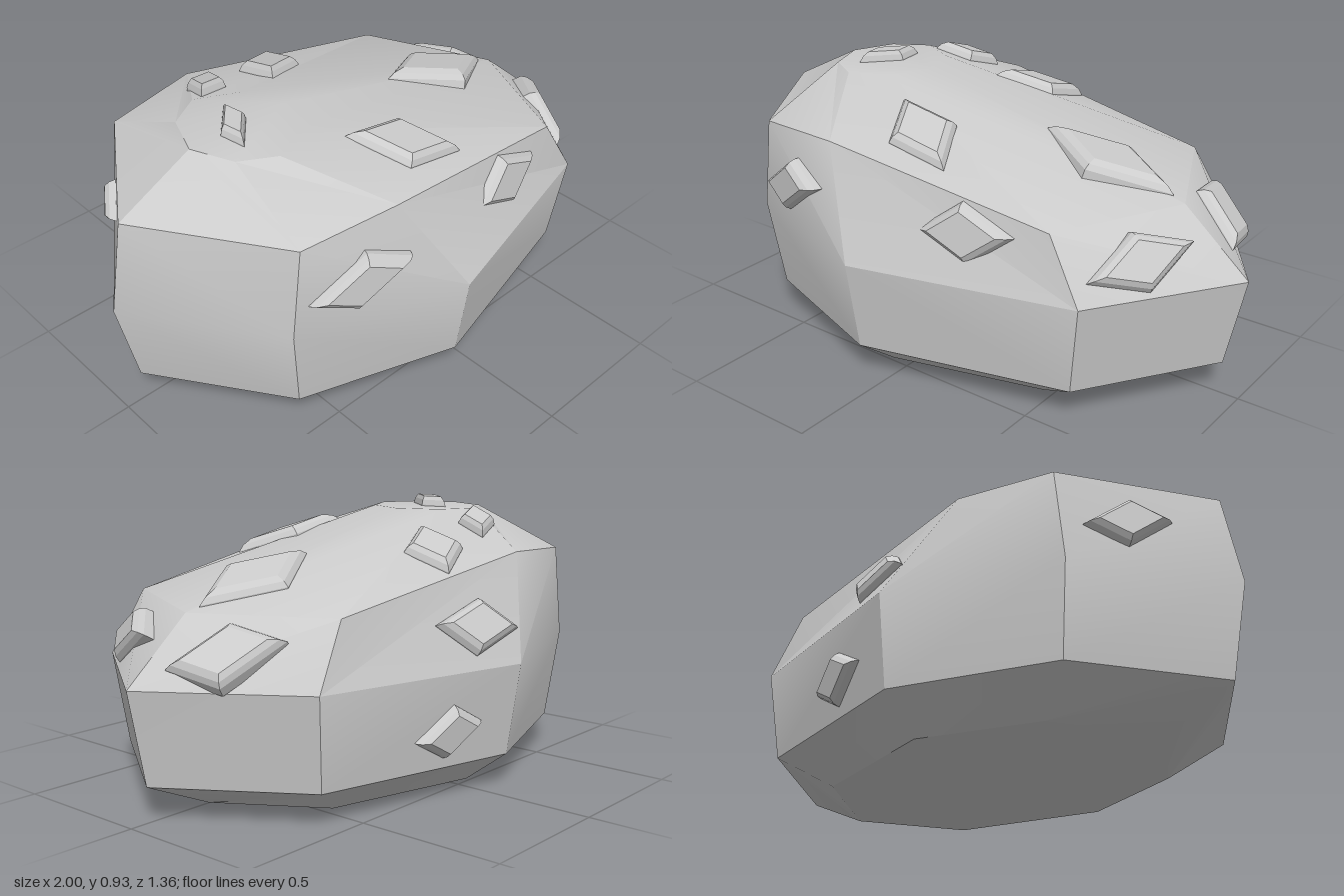
import * as THREE from 'three';
import { toCreasedNormals } from 'three/addons/utils/BufferGeometryUtils.js';

const V = (x, y, z) => new THREE.Vector3(x, y, z);

// Skins a stack of equal-length rings (counter-clockwise about the stacking direction), capped at both ends
function loft(rings, crease) {
  const n = rings[0].length, pos = [];
  const tri = (...pts) => pts.forEach((p) => pos.push(p.x, p.y, p.z));
  for (let i = 0; i < rings.length - 1; i++) {
    for (let j = 0; j < n; j++) {
      const k = (j + 1) % n;
      const a = rings[i][j], b = rings[i][k], c = rings[i + 1][k], d = rings[i + 1][j];
      // mirrored diagonals keep both halves alike
      if (j < n / 2) { tri(a, b, c); tri(a, c, d); } else { tri(a, b, d); tri(b, c, d); }
    }
  }
  const low = rings[0], top = rings[rings.length - 1];
  for (let j = 1; j < n - 1; j++) {
    tri(low[0], low[j + 1], low[j]);
    tri(top[0], top[j], top[j + 1]);
  }
  const geo = new THREE.BufferGeometry();
  geo.setAttribute('position', new THREE.Float32BufferAttribute(pos, 3));
  return toCreasedNormals(geo, crease);
}

// Eight-sided ring from five [x, y, z] points of one half, mirrored across z = 0
function mirroredRing(half) {
  const pts = half.map(([x, y, z]) => V(x, y, -z));
  const back = half.slice(1, 4).reverse().map(([x, y, z]) => V(x, y, z));
  return [...pts, ...back];
}

const ROCK = [
  [[0.68, 0, 0], [0.46, 0, 0.34], [-0.07, 0, 0.485], [-0.47, 0, 0.34], [-0.68, 0, 0]],
  [[0.935, 0.115, 0], [0.635, 0.115, 0.45], [-0.085, 0.115, 0.635], [-0.63, 0.115, 0.45], [-0.935, 0.115, 0]],
  [[1, 0.43, 0], [0.675, 0.43, 0.48], [-0.09, 0.43, 0.68], [-0.67, 0.43, 0.48], [-1, 0.43, 0]],
  [[0.76, 0.635, 0], [0.55, 0.64, 0.455], [-0.28, 0.77, 0.53], [-0.63, 0.75, 0.475], [-0.94, 0.75, 0]],
  [[-0.28, 0.89, 0], [-0.34, 0.89, 0.15], [-0.48, 0.89, 0.22], [-0.6, 0.89, 0.15], [-0.66, 0.89, 0]],
];

// Diamond studs: direction they are set from, centre and two half diagonals.
// Pairs are (x, y) for front/back, (z, y) for left/right and (x, z) for top.
const STUDS = [
  ['front', [-0.45, 0.58], [0.17, 0.04], [0.02, 0.1]],
  ['front', [0.265, 0.58], [0.175, 0.02], [-0.02, 0.1]],
  ['left', [0.26, 0.53], [-0.17, 0.035], [-0.015, 0.085]],
  ['left', [-0.21, 0.53], [-0.145, 0.045], [0.05, 0.083]],
  ['right', [-0.29, 0.59], [0.13, 0.03], [0.01, 0.09]],
  ['back', [0.02, 0.555], [0.16, 0.02], [-0.05, 0.085]],
  ['back', [0.18, 0.24], [0.13, -0.02], [-0.01, 0.09]],
  ['top', [0.465, -0.01], [0.25, 0], [0, 0.15]],
  ['top', [-0.05, -0.345], [0.1, -0.14], [0.095, 0.055]],
  ['top', [-0.36, -0.305], [0.083, -0.085], [0.05, 0.045]],
  ['top', [-0.485, 0], [0.045, -0.11], [0.06, -0.01]],
  ['top', [-0.05, 0.325], [0.17, 0.1], [0.065, -0.1]],
];

const SIDES = {
  front: [V(0, 0, 1), (u, v) => V(u, v, 0)],
  back: [V(0, 0, -1), (u, v) => V(u, v, 0)],
  left: [V(1, 0, 0), (u, v) => V(0, v, u)],
  right: [V(-1, 0, 0), (u, v) => V(0, v, u)],
  top: [V(0, 1, 0), (u, v) => V(u, 0, v)],
};

// Stepped diamond lying on the rock face it is projected onto
function studGeometry(rock, [side, centre, diagA, diagB]) {
  const [axis, place] = SIDES[side];
  const origin = place(...centre).addScaledVector(axis, 3);
  const hit = new THREE.Raycaster(origin, axis.clone().negate()).intersectObject(rock)[0];
  const n = hit.face.normal;
  const onFace = (pair) => {
    const d = place(...pair);
    return d.addScaledVector(axis, -n.dot(d) / n.dot(axis));
  };
  const a = onFace(diagA), b = onFace(diagB);
  if (a.clone().cross(b).dot(n) < 0) b.negate();
  const corners = [a, b, a.clone().negate(), b.clone().negate()];
  // [scale, height] of each step
  const steps = [[1, -0.03], [0.98, 0.004], [0.88, 0.022], [0.7, 0.036]];
  const rings = steps.map(([s, h]) =>
    corners.map((c) => hit.point.clone().addScaledVector(c, s).addScaledVector(n, h)));
  return loft(rings, 0.1);
}

export function createModel() {
  const group = new THREE.Group();
  group.name = 'studdedRock';
  const material = new THREE.MeshStandardMaterial({ color: 0xcccccc });

  // Faceted body with a sloping, softly shaded top
  const rock = new THREE.Mesh(loft(ROCK.map(mirroredRing), 0.5), material);
  rock.name = 'rockBody';
  group.add(rock);

  // Diamond studs scattered over the surface
  STUDS.forEach((spec, i) => {
    const stud = new THREE.Mesh(studGeometry(rock, spec), material);
    stud.name = `${spec[0]}Stud${i + 1}`;
    group.add(stud);
  });
  return group;
}
